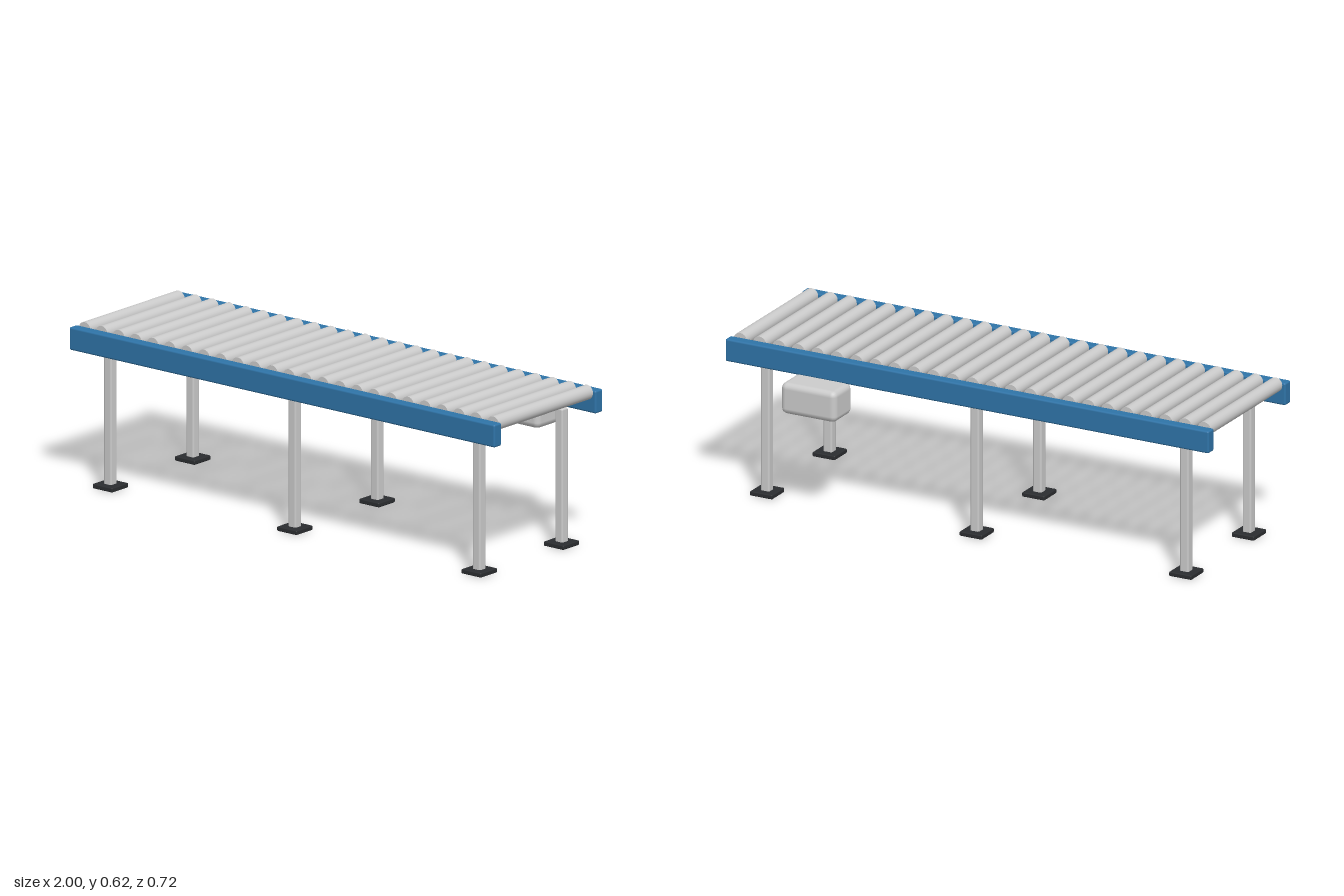
import * as THREE from 'three';
import { RoundedBoxGeometry } from 'three/addons/geometries/RoundedBoxGeometry.js';

const grey = new THREE.MeshStandardMaterial({ color: 0xcccccc });
const blue = new THREE.MeshStandardMaterial({ color: 0x2f74a8 });
const dark = new THREE.MeshStandardMaterial({ color: 0x2b2d30 });

const MID_Z = 0.054; // centre line of the roller bed

export function createModel() {
  const model = new THREE.Group();
  model.name = 'rollerConveyor';

  const add = (name, geometry, material, x, y, z) => {
    const mesh = new THREE.Mesh(geometry, material);
    mesh.name = name;
    mesh.position.set(x, y, z);
    model.add(mesh);
    return mesh;
  };

  // Side rails
  const railGeo = new RoundedBoxGeometry(2, 0.086, 0.042, 2, 0.007);
  add('frontRail', railGeo, blue, 0, 0.555, MID_Z + 0.287);
  add('backRail', railGeo, blue, 0, 0.555, MID_Z - 0.287);

  // Rollers lying across the bed
  const rollerGeo = new THREE.CylinderGeometry(0.0275, 0.0275, 0.534, 20);
  rollerGeo.rotateX(Math.PI / 2);
  const count = 25;
  for (let i = 0; i < count; i++) {
    add('roller', rollerGeo, grey, -0.96 + (1.92 * i) / (count - 1), 0.5875, MID_Z);
  }

  // Three pairs of legs on foot plates
  const legGeo = new RoundedBoxGeometry(0.036, 0.52, 0.036, 2, 0.007);
  const footGeo = new RoundedBoxGeometry(0.093, 0.017, 0.093, 2, 0.004);
  for (const x of [-0.867, 0, 0.867]) {
    for (const side of [1, -1]) {
      const z = MID_Z + side * 0.2335;
      add('leg', legGeo, grey, x, 0.26, z);
      add('foot', footGeo, dark, x, 0.0085, z);
    }
  }

  // Drive motor under the back rail
  add('motor', new RoundedBoxGeometry(0.229, 0.12, 0.133, 2, 0.023), grey, 0.6, 0.455, -0.295);

  return model;
}
